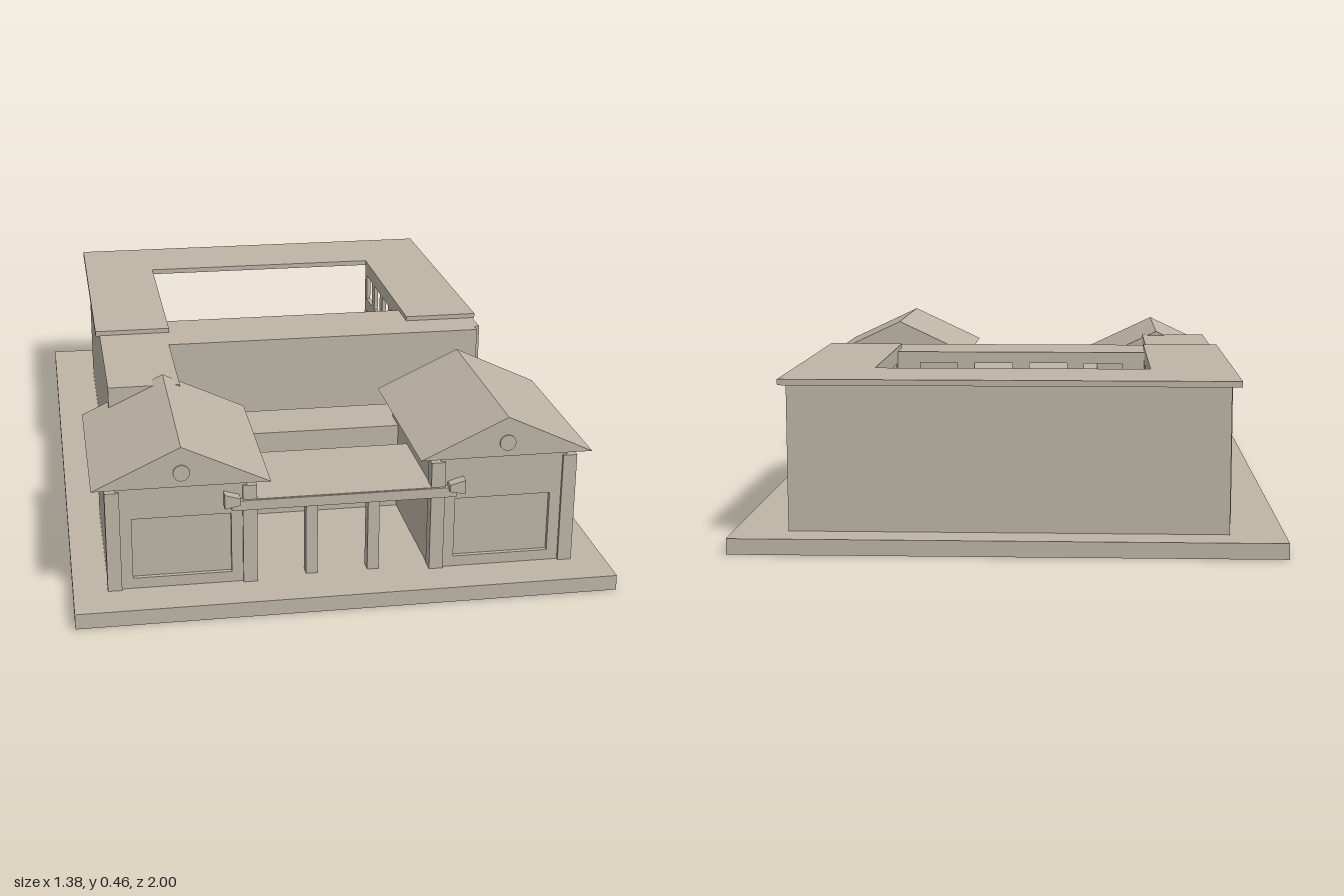
import * as THREE from 'three';

const stone = new THREE.MeshStandardMaterial({ color: 0xbeb5a6 });
stone.name = 'warm stone';

function add(parent, name, geometry) {
  const mesh = new THREE.Mesh(geometry, stone);
  mesh.name = name;
  parent.add(mesh);
  return mesh;
}

// Box given by its limits on each axis
function block(parent, name, x0, x1, y0, y1, z0, z1) {
  const mesh = add(parent, name, new THREE.BoxGeometry(x1 - x0, y1 - y0, z1 - z0));
  mesh.position.set((x0 + x1) / 2, (y0 + y1) / 2, (z0 + z1) / 2);
  return mesh;
}

const outline = (points) => points.map(([a, b]) => new THREE.Vector2(a, b));
const rect = (x0, x1, y0, y1) => outline([[x0, y0], [x1, y0], [x1, y1], [x0, y1]]);

function extrude(points, holes, depth) {
  const shape = new THREE.Shape(points);
  holes.forEach((h) => shape.holes.push(new THREE.Path(h)));
  return new THREE.ExtrudeGeometry(shape, { depth, bevelEnabled: false });
}

// Plan of [x, z] points raised from y0 to y1
function raisePlan(parent, name, plan, holes, y0, y1) {
  const flip = (pts) => pts.map(([x, z]) => new THREE.Vector2(x, -z));
  const g = extrude(flip(plan), holes.map(flip), y1 - y0);
  g.rotateX(-Math.PI / 2);
  g.translate(0, y0, 0);
  return add(parent, name, g);
}

// Courtyard wall facing with recessed window openings
function windowWall(parent, name, width, height, columns, pitch, paneWidth) {
  const holes = [];
  for (let c = 0; c < columns; c++) {
    const x = (c - (columns - 1) / 2) * pitch;
    for (const y of [0.06, 0.18, 0.3]) {
      holes.push(rect(x - paneWidth / 2, x + paneWidth / 2, y - 0.04, y + 0.04));
    }
  }
  const g = extrude(rect(-width / 2, width / 2, 0, height), holes, 0.012);
  const wall = add(parent, name, g);
  wall.position.y = 0.04;
  return wall;
}

// Gabled front pavilion; side is -1 or 1
function pavilion(side, eave, peak) {
  const group = new THREE.Group();
  group.name = side < 0 ? 'rightPavilion' : 'leftPavilion';
  const cx = side * 0.413;
  block(group, 'pavilionBody', cx - 0.188, cx + 0.188, 0.04, eave, 0.41, 0.868);

  // Front wall around the recessed door
  const front = extrude(rect(-0.165, 0.165, 0.04, eave), [rect(-0.125, 0.125, 0.068, 0.23)], 0.012);
  front.translate(cx, 0, 0.868);
  add(group, 'doorSurround', front);

  // Corner pilasters
  for (const s of [-1, 1]) {
    const x = cx + s * 0.172;
    block(group, 'pilaster', x - 0.018, x + 0.018, 0.04, eave - 0.015, 0.85, 0.888);
  }

  // Solid gable roof
  const roof = extrude(outline([[-0.223, eave], [0.223, eave], [0, peak]]), [], 0.533);
  roof.translate(cx, 0, 0.372);
  add(group, 'gableRoof', roof);

  // Round gable vent
  const vent = new THREE.CylinderGeometry(0.021, 0.021, 0.005, 24);
  vent.rotateX(Math.PI / 2);
  vent.translate(cx, eave + 0.037, 0.906);
  add(group, 'gableVent', vent);
  return group;
}

export function createModel() {
  const model = new THREE.Group();
  model.name = 'courtyardBuilding';
  block(model, 'basePlate', -0.69, 0.69, 0, 0.04, -1, 1);

  // Main building with courtyard, recessed corners and a long wing on one side
  const main = new THREE.Group();
  main.name = 'mainBuilding';
  raisePlan(main, 'mainWalls', [
    [-0.552, -0.905], [0.552, -0.905], [0.552, -0.77], [0.565, -0.77], [0.565, 0.052],
    [0.55, 0.052], [0.55, 0.082], [-0.37, 0.082], [-0.37, 0.42], [-0.565, 0.42],
    [-0.565, -0.77], [-0.552, -0.77],
  ], [[[-0.372, -0.66], [0.372, -0.66], [0.372, -0.128], [-0.372, -0.128]]], 0.04, 0.412);

  // U-shaped parapet roof
  raisePlan(main, 'roofCap', [
    [-0.577, -0.915], [0.572, -0.915], [0.572, -0.032], [0.36, -0.032], [0.36, -0.66],
    [-0.36, -0.66], [-0.36, -0.032], [-0.577, -0.032],
  ], [], 0.41, 0.425);

  // Windowed courtyard walls
  const frontWall = windowWall(main, 'courtyardFrontWall', 0.744, 0.372, 4, 0.16, 0.11);
  frontWall.position.z = -0.14;
  for (const s of [-1, 1]) {
    const wall = windowWall(main, 'courtyardSideWall', 0.52, 0.37, 4, 0.125, 0.085);
    wall.rotation.y = -s * Math.PI / 2;
    wall.position.x = s * 0.372;
    wall.position.z = -0.4;
  }
  model.add(main);

  // Front pavilions and the low link behind them
  model.add(pavilion(-1, 0.321, 0.426), pavilion(1, 0.35, 0.455));
  block(model, 'linkBlock', -0.35, 0.345, 0.04, 0.28, 0.312, 0.482);

  // Entrance canopy
  const canopy = new THREE.Group();
  canopy.name = 'entranceCanopy';
  block(canopy, 'canopyRoof', -0.225, 0.225, 0.242, 0.27, 0.592, 0.892);
  block(canopy, 'frontBeam', -0.288, 0.288, 0.242, 0.268, 0.868, 0.895);
  for (const s of [-1, 1]) {
    block(canopy, 'canopyPost', s * 0.08 - 0.015, s * 0.08 + 0.015, 0.04, 0.245, 0.83, 0.865);
    const bracket = extrude(outline([
      [-0.02, 0.262], [0.02, 0.254], [0.02, 0.292], [-0.02, 0.28],
    ]), [], 0.03);
    if (s < 0) bracket.rotateY(Math.PI);
    bracket.translate(s * 0.287, 0, s < 0 ? 0.909 : 0.879);
    add(canopy, 'beamBracket', bracket);
  }
  model.add(canopy);
  return model;
}
